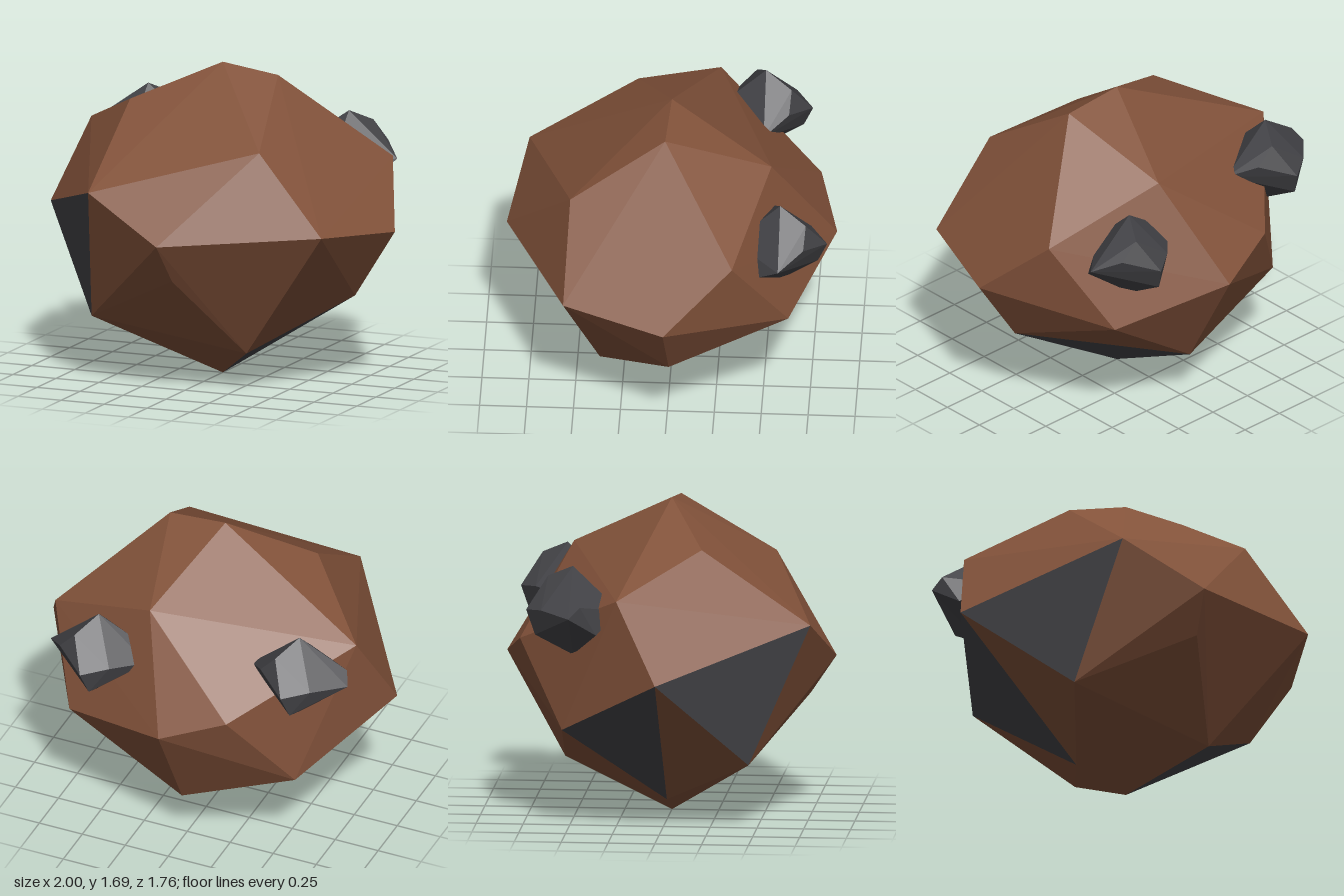
import * as THREE from 'three';
import { ConvexGeometry } from 'three/addons/geometries/ConvexGeometry.js';

const earth = new THREE.MeshStandardMaterial({ color: 0x82523a });
earth.name = 'brown rock';
const stone = new THREE.MeshStandardMaterial({ color: 0x444448 });
stone.name = 'grey stone';

// Boulder corners: six on the axes, the rest scattered between them
const corners = {
  top: [0, 1.69, 0], bottom: [0, 0, 0], left: [1, 0.85, 0], right: [-1, 0.85, 0],
  front: [0, 0.85, 0.88], back: [0, 0.85, -0.88],
  upperRight: [-0.45, 1.49, 0.2], frontRight: [-0.44, 1.09, 0.78],
  frontLeft: [0.81, 0.9, 0.54], upperFrontLeft: [0.44, 1.33, 0.52],
  upperLeft: [0.33, 1.65, 0.02], backLeft: [0.83, 1.18, -0.36],
  lowLeft: [0.76, 0.48, -0.02], lowFrontLeft: [0.3, 0.2, 0.37],
  lowFrontRight: [-0.56, 0.35, 0.46], lowRight: [-0.3, 0.11, 0],
  lowFront: [0.03, 0.64, 0.74], rearLeft: [0.62, 0.72, -0.65],
  lowBack: [0, 0.28, -0.57], upperBack: [0.2, 1.41, -0.54],
  backRight: [-0.86, 1.28, -0.22], rearRight: [-0.35, 0.98, -0.78],
  lowBackRight: [-0.64, 0.54, -0.53],
};

// Facets of the boulder that are grey
const greyFacets = [
  ['right', 'frontRight', 'lowFrontRight'],
  ['right', 'lowBackRight', 'lowRight'],
  ['lowLeft', 'lowFrontLeft', 'bottom'],
  ['lowLeft', 'lowBack', 'bottom'],
];

// Small stone, relative to its middle
const pebble = [
  [0.28, 0, 0], [-0.28, 0, 0], [0, 0.24, 0], [0, -0.24, 0], [0, 0, 0.25], [0, 0, -0.25],
  [-0.13, 0.02, -0.16], [-0.25, 0.06, 0.06], [-0.03, -0.13, -0.2],
  [0.08, 0.17, -0.14], [0.17, 0.07, -0.13], [-0.19, -0.1, 0.14], [0.19, -0.1, 0.12],
];

const hull = (points) => new ConvexGeometry(points.map((p) => new THREE.Vector3(...p)));

export function createModel() {
  const group = new THREE.Group();
  group.name = 'boulder';

  // Main boulder, one group per facet
  const geometry = hull(Object.values(corners));
  const position = geometry.attributes.position;
  const vertex = new THREE.Vector3();
  const nameAt = (i) => {
    vertex.fromBufferAttribute(position, i);
    return Object.keys(corners).find(
      (k) => vertex.distanceTo(new THREE.Vector3(...corners[k])) < 0.001);
  };
  for (let i = 0; i < position.count; i += 3) {
    const names = [nameAt(i), nameAt(i + 1), nameAt(i + 2)];
    const grey = greyFacets.some((facet) => facet.every((n) => names.includes(n)));
    geometry.addGroup(i, 3, grey ? 1 : 0);
  }
  const body = new THREE.Mesh(geometry, [earth, stone]);
  body.name = 'mainRock';
  group.add(body);

  // Two stones embedded in the back
  const pebbleGeometry = hull(pebble);
  [['stoneRight', -0.64, 1.19, -0.47], ['stoneLeft', 0.47, 1.11, -0.6]].forEach(([name, x, y, z]) => {
    const mesh = new THREE.Mesh(pebbleGeometry, stone);
    mesh.name = name;
    mesh.position.set(x, y, z);
    group.add(mesh);
  });
  return group;
}
